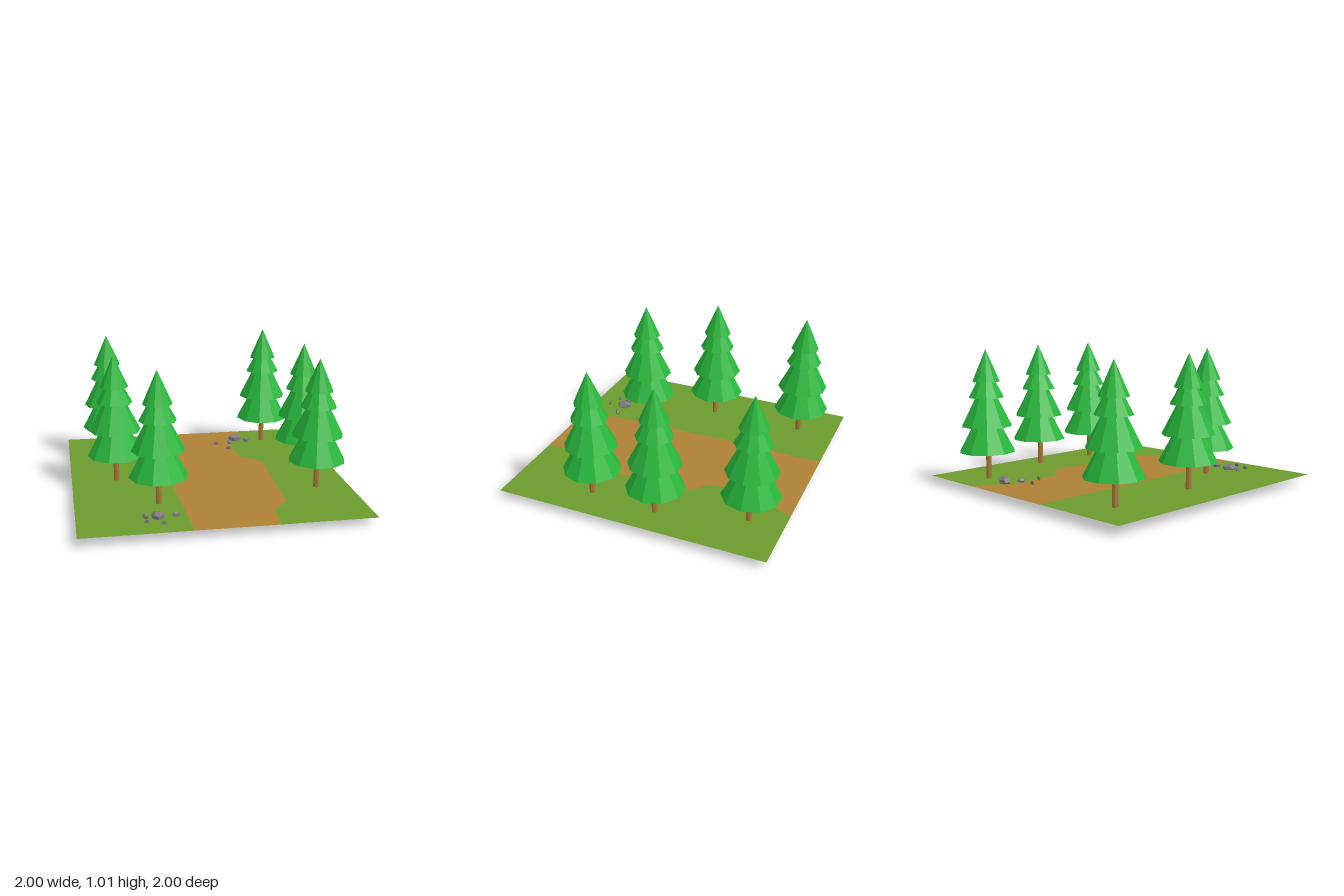
import * as THREE from 'three';

const mat = (name, color, side = THREE.FrontSide) => {
  const m = new THREE.MeshStandardMaterial({ color, side });
  m.name = name;
  return m;
};

// Faceted copy of a geometry
function faceted(geometry) {
  const g = geometry.toNonIndexed();
  g.computeVertexNormals();
  return g;
}

export function createModel() {
  const model = new THREE.Group();
  model.name = 'forestPath';

  const grass = mat('grass green', 0x6c9a2d, THREE.DoubleSide);
  const dirt = mat('dirt brown', 0xad8035, THREE.DoubleSide);
  const needles = mat('needle green', 0x28b83c);
  const bark = mat('bark brown', 0xa87a38);
  const stone = mat('stone grey', 0x7e7a80, THREE.DoubleSide);

  const add = (parent, name, geometry, material, x = 0, y = 0, z = 0) => {
    const mesh = new THREE.Mesh(geometry, material);
    mesh.name = name;
    mesh.position.set(x, y, z);
    parent.add(mesh);
    return mesh;
  };

  // Ground: one thin sheet cut along the two path edges, given as [x, z]
  const leftEdge = [[-0.27, -1], [-0.262, -0.8], [-0.275, -0.55], [-0.282, -0.25],
    [-0.272, 0], [-0.28, 0.2], [-0.268, 0.45], [-0.258, 0.7], [-0.25, 1]];
  const rightEdge = [[0.48, -1], [0.43, -0.88], [0.36, -0.78], [0.33, -0.65],
    [0.335, -0.4], [0.35, -0.34], [0.43, -0.28], [0.503, -0.195], [0.49, 0],
    [0.475, 0.2], [0.47, 0.5], [0.465, 0.62], [0.43, 0.67], [0.35, 0.735],
    [0.338, 0.8], [0.325, 1]];
  const ground = new THREE.Group();
  ground.name = 'ground';
  ground.position.y = 0.059;
  ground.rotation.z = -0.006;
  model.add(ground);

  const sheet = (name, edgeA, edgeB, material) => {
    const outline = [...edgeA, ...[...edgeB].reverse()].map(([x, z]) => new THREE.Vector2(x, -z));
    const g = new THREE.ShapeGeometry(new THREE.Shape(outline));
    g.rotateX(-Math.PI / 2);
    add(ground, name, g, material);
  };
  sheet('leftGrass', [[-1, -1], [-1, 1]], leftEdge, grass);
  sheet('path', leftEdge, rightEdge, dirt);
  sheet('rightGrass', rightEdge, [[1, -1], [1, 1]], grass);

  // Trees: trunk and four stacked ten-sided tiers [bottom y, top y, bottom r, top r]
  const tiers = [[0.26, 0.47, 0.207, 0.095], [0.45, 0.68, 0.187, 0.07],
    [0.66, 0.79, 0.131, 0.06], [0.775, 1.01, 0.103, 0]];
  const tierGeometries = tiers.map(([y0, y1, r0, r1]) => {
    const g = new THREE.CylinderGeometry(r1, r0, y1 - y0, 10);
    g.rotateY(Math.PI / 2);
    g.translate(0, (y0 + y1) / 2, 0);
    return faceted(g);
  });
  const trunkGeometry = faceted(new THREE.CylinderGeometry(0.02, 0.02, 0.3, 8));

  const treeSpots = [[-0.67, -0.715], [-0.67, 0], [-0.418, 0.5],
    [0.62, -0.757], [0.787, -0.13], [0.752, 0.375]];
  for (const [x, z] of treeSpots) {
    const tree = new THREE.Group();
    tree.name = 'tree';
    tree.position.set(x, 0, z);
    add(tree, 'trunk', trunkGeometry, bark, 0, 0.15, 0.01);
    tierGeometries.forEach((g) => add(tree, 'foliageTier', g, needles));
    model.add(tree);
  }

  // Rocks: flattened boulders [x, z, width, height, depth, turn]
  const rockGeometry = new THREE.DodecahedronGeometry(0.54);
  const rocks = [
    [-0.455, 0.745, 0.09, 0.06, 0.11, 0],
    [-0.54, 0.74, 0.03, 0.035, 0.065, 0.4],
    [-0.333, 0.745, 0.06, 0.035, 0.032, 0.5],
    [0.395, -0.775, 0.11, 0.06, 0.075, -0.2],
    [0.33, -0.675, 0.032, 0.035, 0.065, -0.2],
    [0.482, -0.715, 0.055, 0.035, 0.04, 0.2],
  ];
  for (const [x, z, w, h, d, turn] of rocks) {
    const rock = add(model, 'rock', rockGeometry, stone, x, 0.071, z);
    rock.scale.set(w, h, d);
    rock.rotation.y = turn;
  }

  // Thin upright stone chips [x, z, turn]
  const chipGeometry = faceted(new THREE.CylinderGeometry(0.018, 0.018, 0.006, 6).rotateX(Math.PI / 2));
  for (const [x, z] of [[-0.54, 0.83], [-0.432, 0.87], [0.215, -0.666], [0.295, -0.54]]) {
    add(model, 'stoneChip', chipGeometry, stone, x, 0.07, z);
  }

  return model;
}
